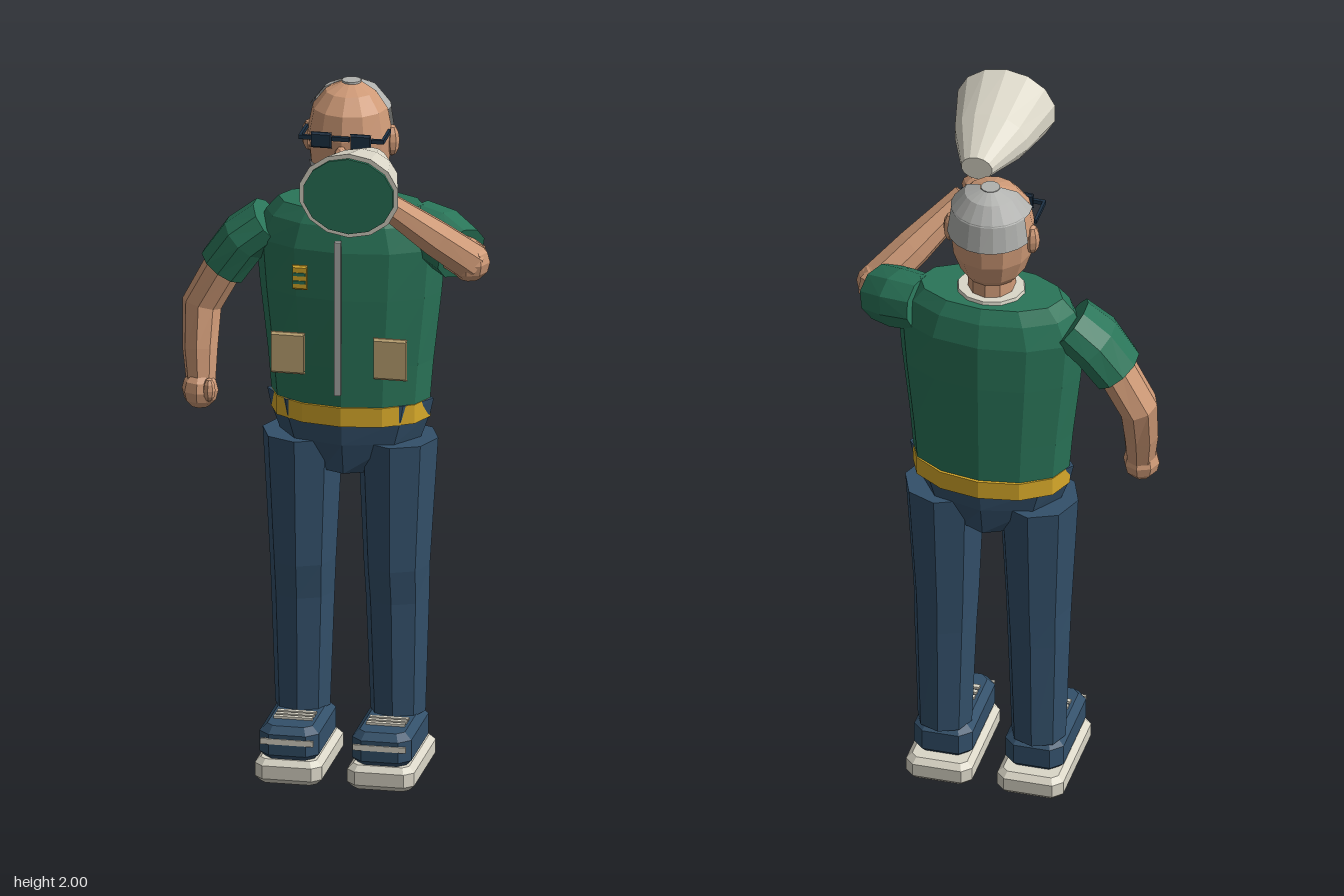
import * as THREE from 'three';

const CX = 0.03; // body centre line
const mat = (name, color) => {
  const m = new THREE.MeshStandardMaterial({ color, side: THREE.DoubleSide });
  m.name = name;
  return m;
};

// Loft through rings [x, y, z, rx, rz]; level rings stay horizontal, others turn with the path.
function loft(rings, { n = 8, a0 = 0, a1 = 360, level = false, caps = true } = {}) {
  const centres = rings.map(r => new THREE.Vector3(r[0], r[1], r[2]));
  const pts = rings.map((r, i) => {
    const d = new THREE.Vector3(0, 1, 0);
    if (!level) {
      d.set(0, 0, 0);
      if (i > 0) d.add(centres[i].clone().sub(centres[i - 1]).normalize());
      if (i < rings.length - 1) d.add(centres[i + 1].clone().sub(centres[i]).normalize());
      d.normalize();
    }
    const v = new THREE.Vector3(0, 0, 1).addScaledVector(d, -d.z).normalize();
    const u = d.clone().cross(v);
    return Array.from({ length: n + 1 }, (_, j) => {
      const a = THREE.MathUtils.degToRad(a0 + (a1 - a0) * j / n);
      return centres[i].clone().addScaledVector(u, r[3] * Math.sin(a)).addScaledVector(v, r[4] * Math.cos(a));
    });
  });
  const out = [];
  const tri = (...vs) => vs.forEach(p => out.push(p.x, p.y, p.z));
  const last = rings.length - 1;
  for (let j = 0; j < n; j++) {
    for (let i = 0; i < last; i++) {
      tri(pts[i][j], pts[i][j + 1], pts[i + 1][j + 1]);
      tri(pts[i][j], pts[i + 1][j + 1], pts[i + 1][j]);
    }
    if (caps) {
      tri(centres[0], pts[0][j + 1], pts[0][j]);
      tri(centres[last], pts[last][j], pts[last][j + 1]);
    }
  }
  const g = new THREE.BufferGeometry();
  g.setAttribute('position', new THREE.Float32BufferAttribute(out, 3));
  return g;
}

// Box with all edges chamfered by c, centred on the origin
function chamferBox(w, h, d, c) {
  const x = w / 2 - c, y = d / 2 - c;
  const s = new THREE.Shape([
    [x, y - c], [x - c, y], [c - x, y], [-x, y - c], [-x, c - y], [c - x, -y], [x - c, -y], [x, c - y],
  ].map(p => new THREE.Vector2(...p)));
  const g = new THREE.ExtrudeGeometry(s, {
    depth: h - 2 * c, bevelEnabled: true, bevelThickness: c, bevelSize: c, bevelSegments: 1,
  });
  return g.translate(0, 0, c - h / 2).rotateX(-Math.PI / 2);
}

export function createModel() {
  const root = new THREE.Group();
  root.name = 'figure';
  const skin = mat('skin', 0xcf9a77), green = mat('shirt green', 0x2a7559), navy = mat('trouser navy', 0x33506a);
  const gold = mat('gold', 0xd8aa2a), cream = mat('cream', 0xdbd7c8), grey = mat('hair grey', 0xb0b1ae);
  const tan = mat('pocket tan', 0xc0a675), dark = mat('glasses navy', 0x1d3144);

  const add = (name, geo, material, x = 0, y = 0, z = 0) => {
    const g = geo.index ? geo.toNonIndexed() : geo;
    g.computeVertexNormals();
    const m = new THREE.Mesh(g, material);
    m.name = name;
    m.position.set(x, y, z);
    root.add(m);
    return m;
  };
  const box = (w, h, d) => new THREE.BoxGeometry(w, h, d);
  const ball = (rx, ry, rz) => new THREE.SphereGeometry(1, 8, 6).scale(rx, ry, rz);
  // Upright stack of rings [y, rx, rz, z] on the centre line
  const stack = (rings, opts) =>
    loft(rings.map(([y, rx, rz, z = -0.215]) => [CX, y, z, rx, rz]), { n: 12, level: true, ...opts });

  // Torso, belt and hips
  add('torso', stack([[1.05, 0.222, 0.132], [1.2, 0.235, 0.138], [1.4, 0.258, 0.145],
    [1.54, 0.27, 0.145], [1.61, 0.24, 0.13], [1.65, 0.205, 0.108]]), green);
  add('belt', stack([[1.03, 0.226, 0.142], [1.085, 0.226, 0.142]]), gold);
  add('hips', stack([[0.88, 0.09, 0.1, -0.21], [0.97, 0.2, 0.12, -0.21], [1.04, 0.226, 0.127, -0.21],
    [1.085, 0.236, 0.125, -0.21]], { n: 8 }), navy);

  // Shirt details
  add('zip', box(0.018, 0.45, 0.016), grey, 0.026, 1.355, -0.055);
  for (const s of [-1, 1]) {
    add('chestPocket', chamferBox(0.11, 0.12, 0.02, 0.006), tan, CX + s * 0.145, 1.245, -0.055);
  }
  add('badge', chamferBox(0.055, 0.07, 0.018, 0.005), gold, -0.082, 1.467, -0.06);
  for (const y of [1.478, 1.455]) add('badgeStripe', box(0.034, 0.009, 0.004), green, -0.082, y, -0.05);

  // Legs and shoes
  for (const s of [-1, 1]) {
    const leg = [[0.135, 0.165, -0.21, 0.078, 0.078], [0.134, 0.5, -0.207, 0.09, 0.088],
      [0.133, 0.6, -0.202, 0.094, 0.1], [0.135, 0.97, -0.21, 0.114, 0.12]];
    add('leg', loft(leg.map(([x, ...r]) => [CX + s * x, ...r]), { level: true }), navy);
    const x = CX + s * 0.131;
    add('sole', chamferBox(0.19, 0.07, 0.345, 0.016), cream, x, 0.038, -0.138);
    add('shoeUpper', chamferBox(0.168, 0.1, 0.3, 0.02), navy, x, 0.118, -0.122);
    add('toeBand', box(0.15, 0.016, 0.008), cream, x, 0.128, 0.027);
    for (const z of [-0.06, -0.085, -0.11]) add('lace', box(0.11, 0.008, 0.014), cream, x, 0.171, z);
  }

  // Lowered right arm
  add('rightSleeve', loft([[-0.33, 1.435, -0.205, 0.072, 0.09], [-0.27, 1.52, -0.21, 0.073, 0.1],
    [-0.2, 1.575, -0.212, 0.07, 0.09]], { n: 10 }), green);
  add('rightArm', loft([[-0.38, 1.09, -0.145, 0.04, 0.04], [-0.388, 1.2, -0.17, 0.05, 0.05],
    [-0.39, 1.32, -0.205, 0.056, 0.062], [-0.315, 1.46, -0.208, 0.056, 0.066]]), skin);
  add('rightHand', ball(0.052, 0.055, 0.052), skin, -0.382, 1.09, -0.142);
  add('rightThumb', ball(0.018, 0.035, 0.02), skin, -0.35, 1.1, -0.11);

  // Raised left arm
  add('leftSleeve', loft([[0.215, 1.575, -0.235, 0.08, 0.085], [0.29, 1.56, -0.205, 0.085, 0.09],
    [0.355, 1.535, -0.155, 0.08, 0.085]], { n: 10 }), green);
  add('leftUpperArm', loft([[0.3, 1.55, -0.19, 0.06, 0.06], [0.39, 1.53, -0.115, 0.058, 0.06]]), skin);
  add('leftElbow', ball(0.058, 0.058, 0.058), skin, 0.388, 1.53, -0.113);
  add('leftForearm', loft([[0.39, 1.53, -0.115, 0.056, 0.058], [0.3, 1.62, -0.04, 0.053, 0.053],
    [0.18, 1.745, 0.06, 0.038, 0.038]]), skin);
  add('leftHand', ball(0.05, 0.04, 0.042), skin, 0.145, 1.775, 0.075);

  // Hailing cone with its front disc
  const cone = rings => loft(rings.map(([z, rx, ry]) => [0, z, 0, rx, ry]), { n: 14, level: true }).rotateX(Math.PI / 2);
  add('hailingCone', cone([[0.037, 0.045, 0.036], [0.185, 0.106, 0.083], [0.35, 0.143, 0.123]]), cream, 0.141, 1.862, 0);
  add('coneFrontDisc', cone([[0.348, 0.13, 0.11], [0.359, 0.13, 0.11]]), green, 0.141, 1.862, 0);

  // Neck, collar and head
  add('collar', stack([[1.64, 0.1, 0.09], [1.66, 0.095, 0.086]]), cream);
  add('neck', stack([[1.62, 0.068, 0.072, -0.21], [1.74, 0.064, 0.068, -0.21]], { n: 10 }), skin);
  add('head', stack([[1.682, 0.062, 0.075, -0.19], [1.72, 0.092, 0.1, -0.195], [1.78, 0.112, 0.115, -0.202],
    [1.86, 0.12, 0.12, -0.205], [1.93, 0.106, 0.108, -0.208], [1.975, 0.07, 0.073, -0.212], [1.994, 0.028, 0.03, -0.22]]), skin);

  // Swept-back hair
  add('hairBack', stack([[1.85, 0.124, 0.131, -0.21], [1.935, 0.112, 0.115, -0.212]],
    { n: 8, a0: 110, a1: 250, caps: false }), grey);
  add('hairTop', stack([[1.93, 0.114, 0.117, -0.212], [1.98, 0.074, 0.077, -0.216], [1.999, 0.028, 0.028, -0.225]],
    { a0: 80, a1: 280, caps: false }), grey);
  add('hairCrown', stack([[1.985, 0.028, 0.028, -0.225], [2, 0.027, 0.027, -0.225]]), grey);

  // Beard, moustache, nose and ears
  add('beard', stack([[1.678, 0.06, 0.08, -0.19], [1.72, 0.096, 0.109, -0.195], [1.785, 0.116, 0.12, -0.2]],
    { n: 8, a0: -65, a1: 65, caps: false }), grey);
  for (const s of [-1, 1]) {
    add('moustache', ball(0.03, 0.013, 0.014), grey, CX + s * 0.022, 1.79, -0.078);
    add('ear', ball(0.022, 0.046, 0.025), skin, CX + s * 0.117, 1.835, -0.212);
    add('lens', chamferBox(0.07, 0.045, 0.016, 0.005), dark, CX + s * 0.056, 1.868, -0.08);
    add('glassesArm', box(0.008, 0.012, 0.1), dark, CX + s * 0.117, 1.872, -0.13);
    add('glassesHinge', box(0.034, 0.012, 0.01), dark, CX + s * 0.102, 1.872, -0.085);
  }
  add('glassesBridge', box(0.05, 0.012, 0.012), dark, CX, 1.875, -0.078);
  add('nose', ball(0.019, 0.026, 0.025), skin, CX, 1.825, -0.08);
  return root;
}
